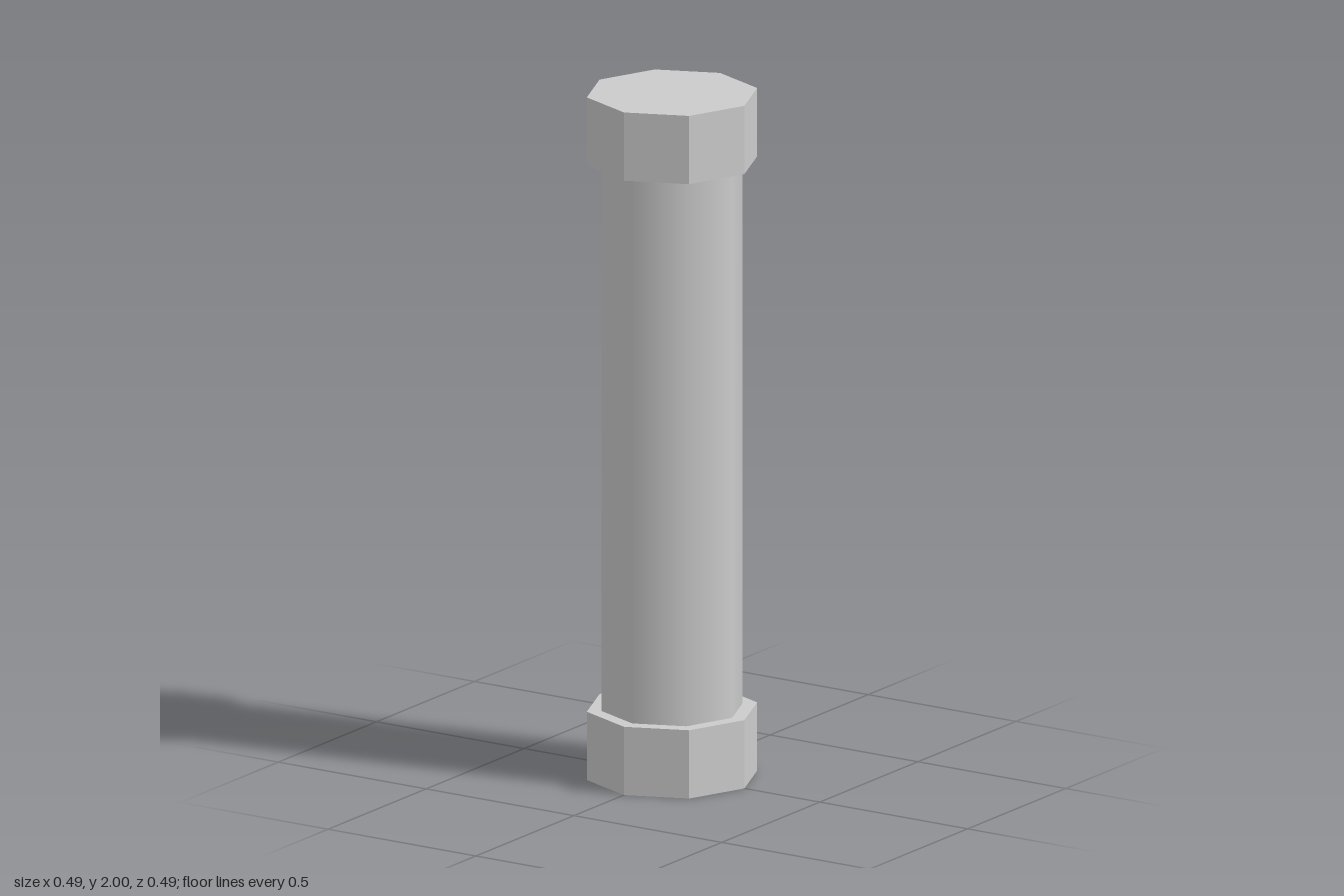
import * as THREE from 'three';

const SIDES = 8;

export function createModel() {
  const model = new THREE.Group();
  model.name = 'cappedPipe';

  const smooth = new THREE.MeshStandardMaterial({ color: 0xcccccc, side: THREE.DoubleSide });
  const faceted = new THREE.MeshStandardMaterial({ color: 0xcccccc, flatShading: true });

  // Smooth-shaded pipe between the caps
  const pipe = new THREE.Mesh(new THREE.CylinderGeometry(0.203, 0.203, 1.6, SIDES, 1, true), smooth);
  pipe.name = 'pipe';
  pipe.position.y = 1;
  model.add(pipe);

  // Matching octagonal end caps
  const capGeometry = new THREE.CylinderGeometry(0.245, 0.245, 0.2, SIDES);
  for (const [name, y] of [['bottomCap', 0.1], ['topCap', 1.9]]) {
    const cap = new THREE.Mesh(capGeometry, faceted);
    cap.name = name;
    cap.position.y = y;
    model.add(cap);
  }

  return model;
}
